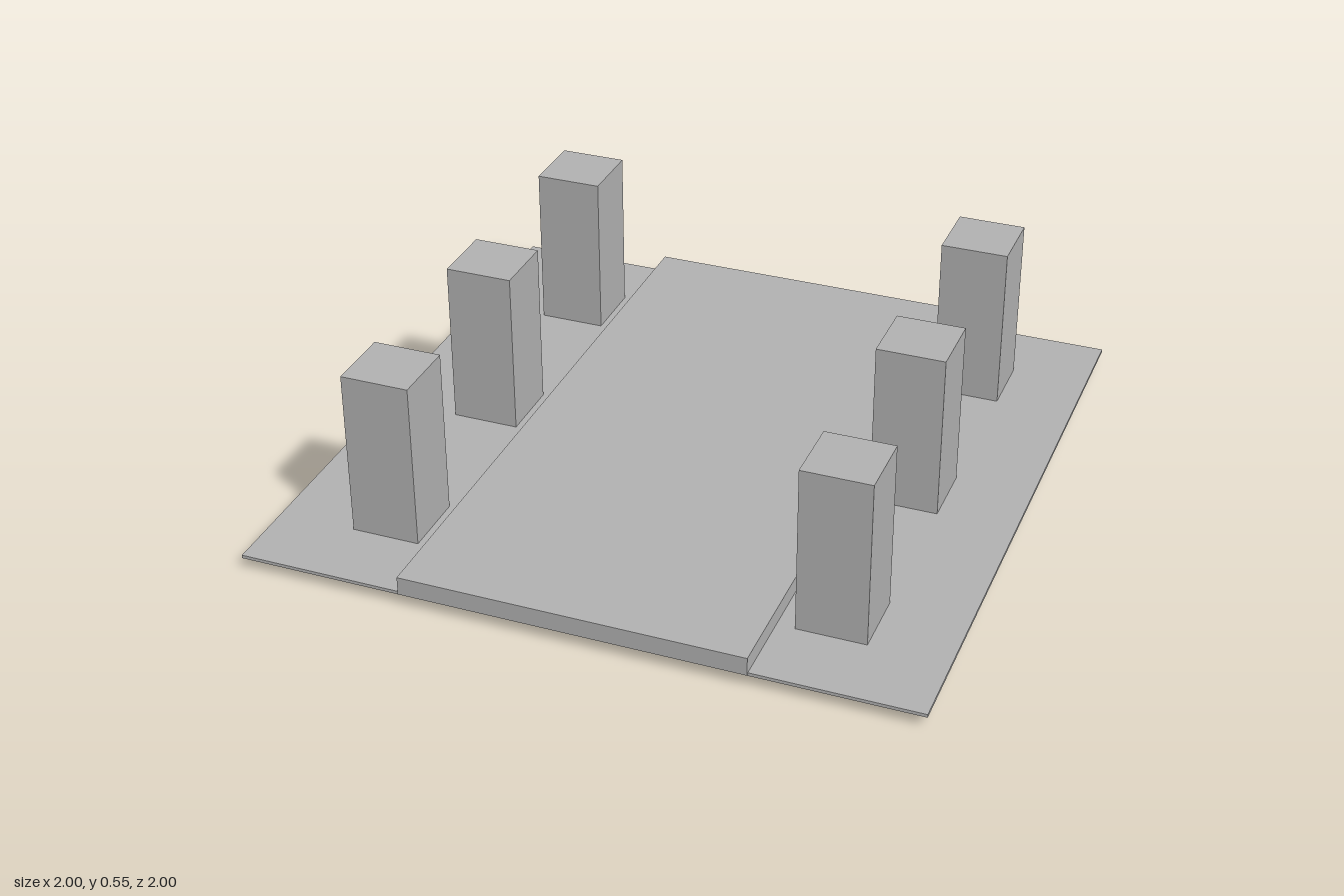
import * as THREE from 'three';

export function createModel() {
  const model = new THREE.Group();
  const grey = new THREE.MeshStandardMaterial({ color: 0xb2b2b2 });
  grey.name = 'grey';

  const add = (parent, name, geometry, x, y, z) => {
    const mesh = new THREE.Mesh(geometry, grey);
    mesh.name = name;
    mesh.position.set(x, y, z);
    parent.add(mesh);
    return mesh;
  };

  // Raised centre deck, its underside a touch above the side plates
  add(model, 'centreDeck', new THREE.BoxGeometry(1.02, 0.056, 2), 0, 0.067, 0);

  // Thin side plates reaching under the deck
  const plate = new THREE.BoxGeometry(0.66, 0.01, 1.99);
  for (const side of [-1, 1]) add(model, 'sidePlate', plate, side * 0.67, 0.04, 0);

  // Square posts, three per side, each with a ribbed pad under the plate
  const post = new THREE.BoxGeometry(0.204, 0.512, 0.204);
  const pad = new THREE.BoxGeometry(0.17, 0.004, 0.17);
  const rib = new THREE.BoxGeometry(0.006, 0.003, 0.16);
  for (const side of [-1, 1]) {
    for (const z of [-0.667, 0, 0.667]) {
      const group = new THREE.Group();
      group.name = 'postAssembly';
      group.position.set(side * 0.665, 0, z);
      add(group, 'post', post, 0, 0.296, 0);
      add(group, 'pad', pad, 0, 0.0335, 0);
      for (let i = -3; i <= 3; i++) add(group, 'padRib', rib, i * 0.024, 0.0305, 0);
      model.add(group);
    }
  }

  // Round bar handles under the plates, on two short studs
  const bar = new THREE.CylinderGeometry(0.012, 0.012, 0.3, 16);
  bar.rotateZ(Math.PI / 2);
  const stud = new THREE.CylinderGeometry(0.017, 0.015, 0.038, 16);
  const addHandle = (x, z, turn) => {
    const handle = new THREE.Group();
    handle.name = 'handle';
    handle.position.set(x, 0, z);
    handle.rotation.y = turn;
    add(handle, 'handleBar', bar, 0, 0.016, 0);
    for (const end of [-1, 1]) add(handle, 'handleStud', stud, end * 0.146, 0.019, 0);
    model.add(handle);
  };
  for (const z of [0.41, -0.46]) {
    addHandle(-0.69, z, 0);
    addHandle(0.69, z, 0);
  }
  // Lengthwise pair on the centre line
  const reach = new THREE.BoxGeometry(0.05, 0.004, 0.36);
  for (const z of [0.467, -0.517]) {
    addHandle(0, z, Math.PI / 2);
    add(model, 'handleSeat', reach, 0, 0.039, z);
  }

  return model;
}
